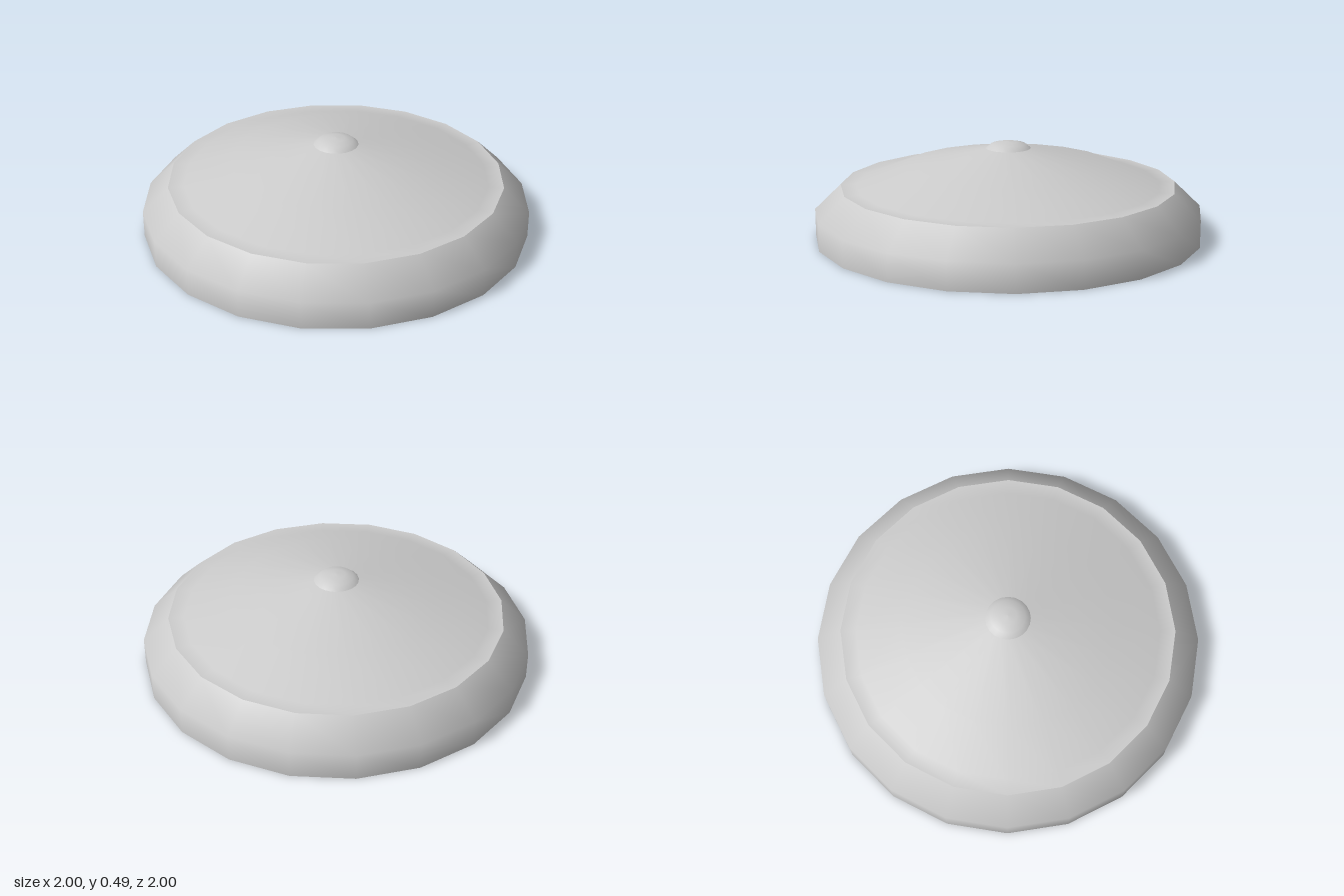
import * as THREE from 'three';

const SIDES = 20;

// Thin turned shell from [radius, height] points, listed from the outside in
function turned(name, profile, material) {
  const points = profile.map(([r, y]) => new THREE.Vector2(r, y));
  const mesh = new THREE.Mesh(new THREE.LatheGeometry(points, SIDES), material);
  mesh.name = name;
  return mesh;
}

export function createModel() {
  const group = new THREE.Group();
  group.name = 'shallowDomedCover';
  const grey = new THREE.MeshStandardMaterial({ color: 0xcccccc, side: THREE.DoubleSide });

  group.add(
    // upright skirt, open below, with a sloped shoulder
    turned('rim', [[1, 0], [1, 0.14], [0.865, 0.27]], grey),
    // level ledge rising into a two-slope dome
    turned('dome', [[0.865, 0.27], [0.785, 0.27], [0.54, 0.365], [0.115, 0.455]], grey),
    // small hollow boss over the centre
    turned('knob', [[0.115, 0.455], [0.088, 0.477], [0.045, 0.487], [0, 0.49]], grey)
  );
  return group;
}
